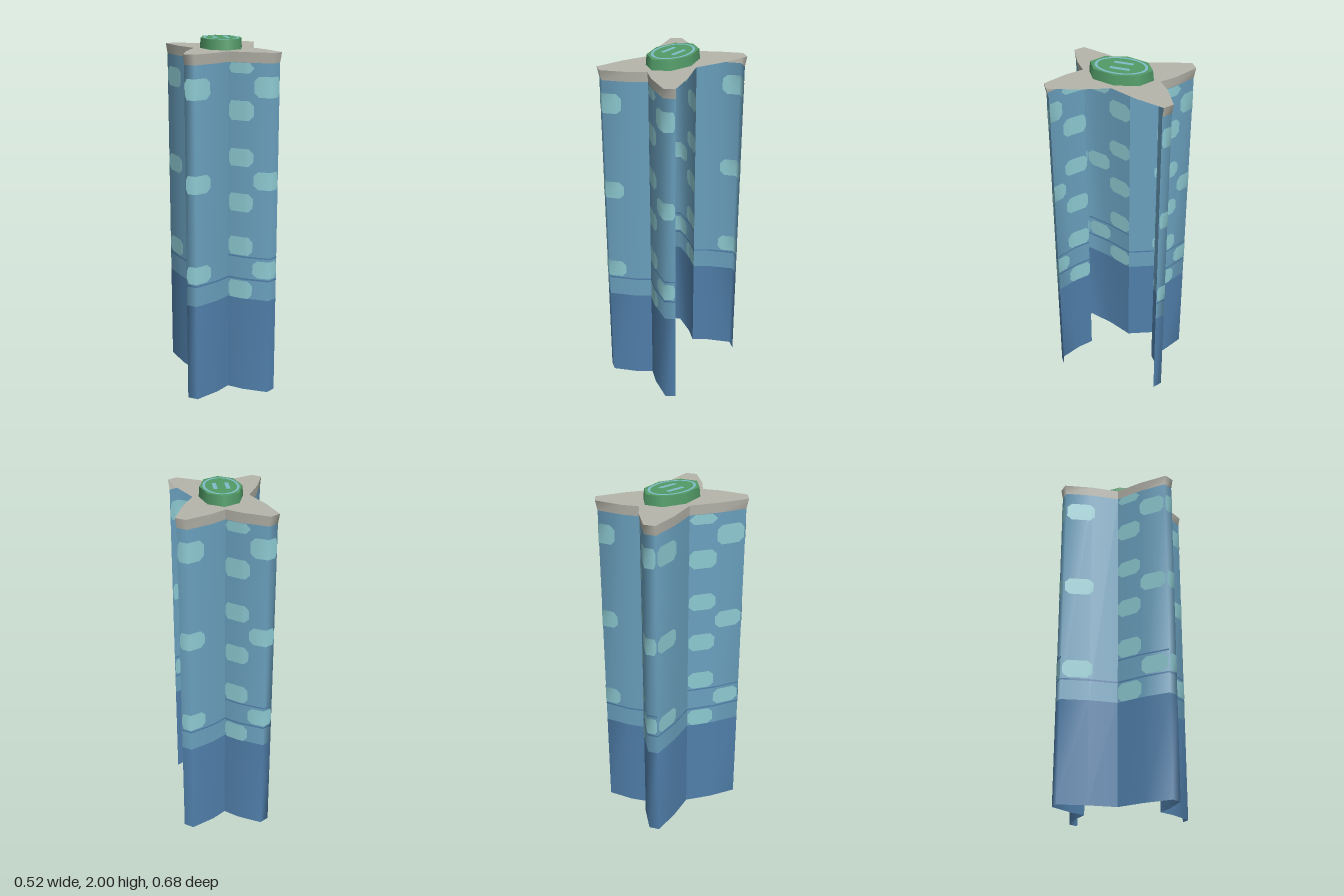
import * as THREE from 'three';

const mat = (name, color) => new THREE.MeshStandardMaterial({ name, color, side: THREE.DoubleSide });

// Four-winged plan [x, z]; the +x side (last three points) carries roof only
const PLAN = [
  [0.26, 0.305], [0.21, 0.34], [0.076, 0.27], [0, 0.21],
  [-0.076, 0.27], [-0.21, 0.34], [-0.26, 0.305], [-0.215, 0.15], [-0.15, 0],
  [-0.215, -0.15], [-0.26, -0.305], [-0.21, -0.34], [-0.076, -0.27], [0, -0.21],
  [0.076, -0.27], [0.21, -0.34], [0.26, -0.305],
  [0.215, -0.15], [0.15, 0], [0.215, 0.15],
];
const BODY = 0.972;
// Wall stretches between the notches, as index ranges of the plan
const WINGS = [[0, 3], [3, 8], [8, 13], [13, 16]];

// Point on the plan at fractional index u, pushed out along the wall normal
function at(u, y, scale, push = 0) {
  const i = Math.min(Math.floor(u), 15), t = u - i;
  const [ax, az] = PLAN[i], [bx, bz] = PLAN[i + 1];
  const dx = bx - ax, dz = bz - az, len = Math.hypot(dx, dz);
  return [
    (ax + dx * t) * scale - (dz / len) * -push,
    y,
    (az + dz * t) * scale + (dx / len) * -push,
  ];
}

// Surface lofted through rows of equally many points
function loft(rows) {
  const n = rows[0].length, index = [];
  for (let r = 0; r < rows.length - 1; r++) {
    for (let c = 0; c < n - 1; c++) {
      const a = r * n + c, b = a + n;
      index.push(a, b, a + 1, a + 1, b, b + 1);
    }
  }
  const g = new THREE.BufferGeometry();
  g.setAttribute('position', new THREE.Float32BufferAttribute(rows.flat(2), 3));
  g.setIndex(index);
  g.computeVertexNormals();
  return g;
}

export function createModel() {
  const model = new THREE.Group();
  model.name = 'tower';
  const glass = mat('blue glass', 0x6aa0be);
  const base = mat('deep blue base', 0x507faa);
  const pane = mat('pale window', 0x8dcad2);
  const concrete = mat('grey concrete', 0xb6b6ac);
  const green = mat('landing pad green', 0x539c68);
  const paint = mat('pad marking', 0x82bccb);

  const add = (name, geometry, material, parent = model) => {
    const mesh = new THREE.Mesh(geometry, material);
    mesh.name = name;
    parent.add(mesh);
    return mesh;
  };

  // Walls: base, glass shaft and flared cornice on each wing
  const wall = (name, y0, y1, s0, s1, material) => {
    const group = new THREE.Group();
    group.name = name;
    model.add(group);
    for (const [a, b] of WINGS) {
      const us = Array.from({ length: b - a + 1 }, (_, k) => a + k);
      // keep exact plan corners
      const row = (y, s) => us.map((u) => [PLAN[u][0] * s, y, PLAN[u][1] * s]);
      add(name + 'Wing', loft([row(y0, s0), row(y1, s1)]), material, group);
    }
  };
  wall('base', 0, 0.57, BODY, BODY, base);
  wall('glassShaft', 0.57, 1.89, BODY, BODY, glass);
  wall('cornice', 1.89, 1.945, BODY, 1, concrete);

  // Thin plates with clipped corners, on both faces of the wall
  const plate = (name, u0, u1, y0, y1, material, parent, clip = 0, push = 0.002) => {
    const us = [u0, u0 + clip];
    for (let i = Math.floor(u0) + 1; i < u1; i++) us.push(i);
    us.push(u1 - clip, u1);
    us.sort((a, b) => a - b);
    const rise = clip ? 0.025 : 0;
    const levels = clip
      ? [[y0, clip], [y0 + rise, 0], [y1 - rise, 0], [y1, clip]]
      : [[y0, 0], [y1, 0]];
    for (const side of [push, -push]) {
      const rows = levels.map(([y, inset]) => us.map((u) =>
        at(Math.min(Math.max(u, u0 + inset), u1 - inset), y, BODY, side)));
      add(name, loft(rows), material, parent);
    }
  };

  // Windows: outer columns on every wing face, inner columns on every other
  const windows = new THREE.Group();
  windows.name = 'windows';
  model.add(windows);
  const outer = [[0.05, 1.65], [4.33, 5.95], [6.05, 7.03], [8.9, 9.95], [10.05, 11.65], [14.35, 15.95]];
  const inner = [[1.66, 3], [7.04, 8], [11.66, 13]];
  const outerRows = [[0.7, 0.8], [1.21, 1.31], [1.71, 1.82]];
  const innerRows = [[0.57, 0.675], [0.828, 0.934], [1.08, 1.183], [1.335, 1.432], [1.585, 1.69], [1.835, 1.889]];
  for (const [columns, rows] of [[outer, outerRows], [inner, innerRows]]) {
    for (const [u0, u1] of columns) {
      for (const [y0, y1] of rows) plate('window', u0, u1, y0, y1, pane, windows, 0.17);
    }
  }

  // Narrow floor lines above the base
  const lines = new THREE.Group();
  lines.name = 'floorLines';
  model.add(lines);
  for (const [a, b] of WINGS) plate('floorLine', a, b, 0.682, 0.692, base, lines, 0, 0.001);
  for (const [a, b] of [[0, 3], [6, 8], [10, 13]]) plate('floorLine', a, b, 0.814, 0.822, base, lines, 0, 0.001);

  // Roof slab over the full plan
  const roof = new THREE.ShapeGeometry(new THREE.Shape(PLAN.map(([x, z]) => new THREE.Vector2(x, -z))));
  add('roof', roof.rotateX(-Math.PI / 2), concrete).position.y = 1.945;

  // Octagonal landing pad
  const pad = new THREE.CylinderGeometry(0.965, 1, 0.054, 8);
  pad.scale(0.117, 1, 0.175);
  add('landingPad', pad, green).position.y = 1.972;

  // Painted oval and two touchdown bars
  const oval = new THREE.Shape().absellipse(0, 0, 0.096, 0.14, 0, Math.PI * 2);
  oval.holes.push(new THREE.Path().absellipse(0, 0, 0.083, 0.126, 0, Math.PI * 2));
  add('padOval', new THREE.ShapeGeometry(oval, 32).rotateX(-Math.PI / 2), paint).position.y = 2;
  for (const side of [-1, 1]) {
    const bar = new THREE.PlaneGeometry(0.022, 0.105).rotateX(-Math.PI / 2);
    add('touchdownBar', bar, paint).position.set(side * 0.033, 2, -0.003);
  }
  return model;
}
